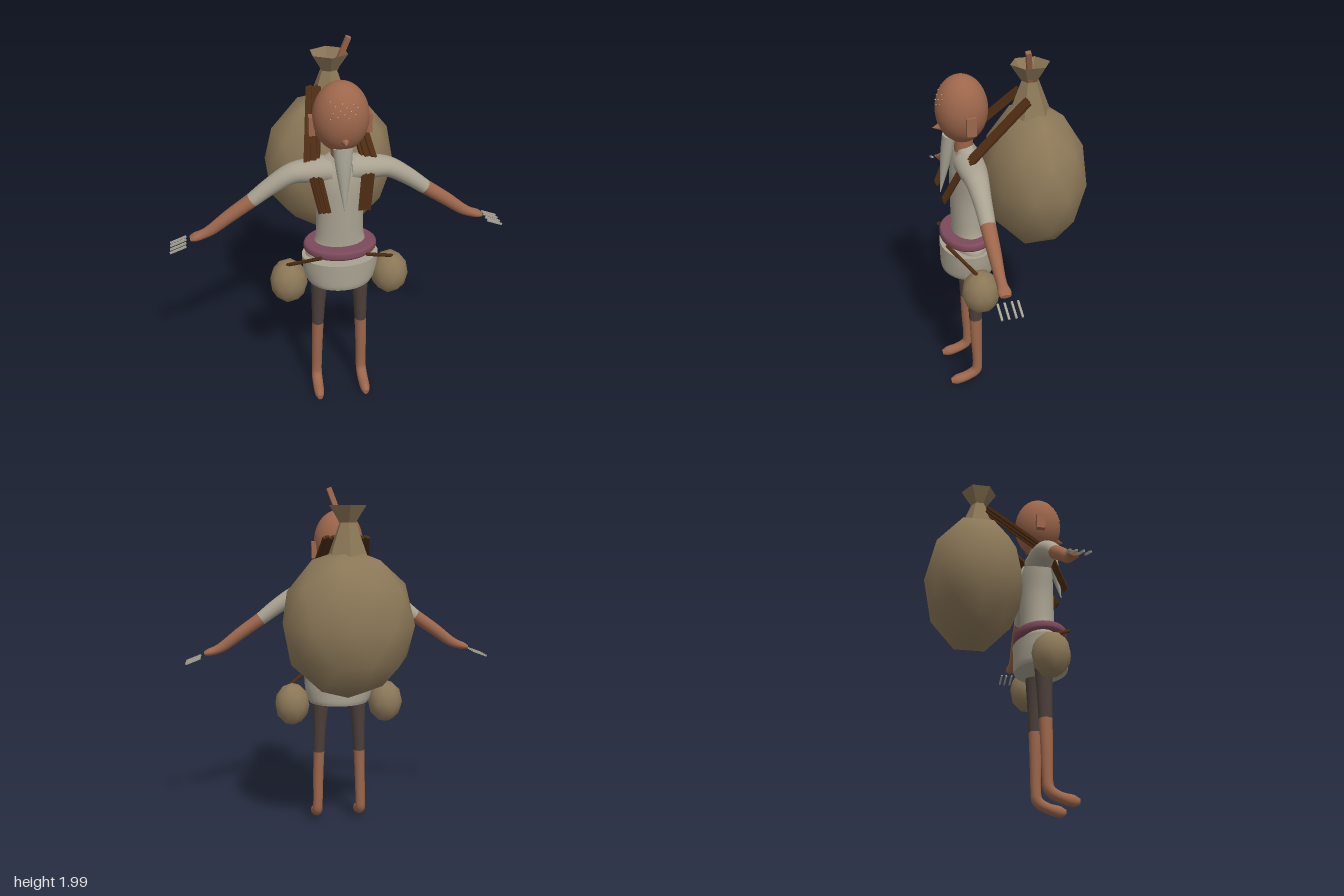
import * as THREE from 'three';

const mat = (name, color, extra = {}) => {
  const m = new THREE.MeshStandardMaterial({ color, ...extra });
  m.name = name;
  return m;
};

export function createModel() {
  const root = new THREE.Group();
  root.name = 'sackCarrier';

  const skin = mat('skin', 0x9c664b);
  const shirt = mat('shirtCloth', 0xa9a291);
  const hair = mat('greyHair', 0xa6a294);
  const burlap = mat('burlap', 0x8c7858);
  const burlapFlat = mat('burlapFolds', 0x8a7656, { flatShading: true, side: THREE.DoubleSide });
  const leather = mat('leather', 0x4c2b12);
  const trousers = mat('trousers', 0x4c3f39);
  const sash = mat('sash', 0x7c4a5b);
  const speckle = mat('speckle', 0xd2bea6);

  const V = (x, y, z) => new THREE.Vector3(x, y, z);
  const X = V(1, 0, 0), Z = V(0, 0, 1);

  const add = (name, geo, material, x = 0, y = 0, z = 0) => {
    const m = new THREE.Mesh(geo, material);
    m.name = name;
    m.position.set(x, y, z);
    root.add(m);
    return m;
  };

  // Smooth body through rows [x, y, z, radius along u, radius across u], with flat caps
  function loft(rows, u, steps = 20, seg = 20) {
    const path = new THREE.CatmullRomCurve3(rows.map(r => V(r[0], r[1], r[2])), false, 'catmullrom', 0.5);
    const radii = new THREE.CatmullRomCurve3(rows.map(r => V(r[3], r[4], 0)), false, 'catmullrom', 0.5);
    const pos = [], idx = [];
    const ring = t => {
      const c = path.getPoint(t), r = radii.getPoint(t);
      const v = path.getTangent(t).cross(u).normalize();
      for (let j = 0; j < seg; j++) {
        const a = j / seg * Math.PI * 2;
        const p = c.clone().addScaledVector(u, Math.cos(a) * r.x).addScaledVector(v, Math.sin(a) * r.y);
        pos.push(p.x, p.y, p.z);
      }
      return c;
    };
    for (let i = 0; i <= steps; i++) ring(i / steps);
    for (let i = 0; i < steps; i++) {
      for (let j = 0; j < seg; j++) {
        const a = i * seg + j, b = i * seg + (j + 1) % seg;
        idx.push(a, b, b + seg, a, b + seg, a + seg);
      }
    }
    for (const end of [0, 1]) {
      const base = pos.length / 3, c = ring(end);
      pos.push(c.x, c.y, c.z);
      for (let j = 0; j < seg; j++) {
        const a = base + j, b = base + (j + 1) % seg;
        idx.push(base + seg, end ? a : b, end ? b : a);
      }
    }
    const g = new THREE.BufferGeometry();
    g.setAttribute('position', new THREE.Float32BufferAttribute(pos, 3));
    g.setIndex(idx);
    g.computeVertexNormals();
    return g;
  }

  // Straight bar between two points
  function bar(name, a, b, w, d, material, round = false) {
    const len = a.distanceTo(b);
    const g = round ? new THREE.CylinderGeometry(w / 2, w / 2, len, 8) : new THREE.BoxGeometry(w, len, d);
    const m = add(name, g, material);
    m.position.copy(a).lerp(b, 0.5);
    m.quaternion.setFromUnitVectors(V(0, 1, 0), b.clone().sub(a).normalize());
    return m;
  }

  // Coarse rounded bag standing on one of its poles
  const bag = (rx, ry, rz) => new THREE.IcosahedronGeometry(1, 1)
    .rotateX(-Math.atan((1 + Math.sqrt(5)) / 2)).rotateY(Math.PI / 2).scale(rx, ry, rz);

  // Torso, tunic skirt and sash
  add('torso', loft([
    [0, 0.82, 0.238, 0.17, 0.10], [0, 0.92, 0.238, 0.185, 0.10], [0, 0.96, 0.238, 0.165, 0.098],
    [0, 1.02, 0.238, 0.13, 0.094], [0, 1.2, 0.238, 0.125, 0.094], [0, 1.34, 0.238, 0.145, 0.09],
    [0, 1.43, 0.24, 0.15, 0.07], [0, 1.475, 0.245, 0.09, 0.05], [0, 1.50, 0.25, 0.05, 0.045],
  ], X, 40, 28), shirt);
  add('tunicSkirt', loft([
    [0, 0.765, 0.25, 0.175, 0.145], [0, 0.79, 0.25, 0.187, 0.15],
    [0, 0.85, 0.25, 0.2, 0.15], [0, 0.92, 0.25, 0.205, 0.15],
  ], X, 16, 32), shirt);
  add('sash', loft([
    [0, 0.95, 0.25, 0.18, 0.14], [0, 0.962, 0.25, 0.193, 0.147],
    [0, 0.988, 0.25, 0.193, 0.147], [0, 1.0, 0.25, 0.18, 0.14],
  ], X, 12, 32), sash);

  // Head, nose, neck and beard
  add('head', new THREE.SphereGeometry(1, 32, 24).scale(0.14, 0.177, 0.135), skin, 0, 1.7, 0.255);
  add('nose', new THREE.ConeGeometry(0.06, 0.12, 12).rotateX(Math.PI / 2 + 0.1), skin, 0, 1.617, 0.35);
  add('neck', new THREE.CylinderGeometry(0.05, 0.05, 0.12, 16), skin, 0, 1.53, 0.25);
  add('beard', loft([
    [0, 1.56, 0.325, 0.05, 0.035], [0, 1.45, 0.345, 0.038, 0.03],
    [0, 1.34, 0.365, 0.02, 0.017], [0, 1.24, 0.384, 0.002, 0.002],
  ], X, 12, 16), hair);

  // Small speckles scattered over the forehead
  for (let i = 0; i < 14; i++) {
    const x = -0.07 + 0.14 * ((i * 0.618) % 1), y = 1.735 + 0.075 * (i / 13);
    const k = 1 - (x / 0.14) ** 2 - ((y - 1.7) / 0.177) ** 2;
    add('foreheadSpeckle', new THREE.SphereGeometry(0.003, 6, 4), speckle, x, y, 0.255 + 0.135 * Math.sqrt(k));
  }

  for (const s of [1, -1]) {
    const side = s > 0 ? 'left' : 'right';
    const flip = rows => rows.map(([x, ...r]) => [s * x, ...r]);

    add(side + 'Ear', new THREE.BoxGeometry(0.03, 0.095, 0.05), skin, s * 0.142, 1.655, 0.238);

    // Sleeve, forearm and fingers
    add(side + 'Sleeve', loft(flip([
      [0.05, 1.415, 0.238, 0.08, 0.07], [0.16, 1.412, 0.238, 0.073, 0.06], [0.25, 1.4, 0.238, 0.06, 0.052],
      [0.35, 1.342, 0.238, 0.047, 0.045], [0.45, 1.268, 0.238, 0.04, 0.038],
    ]), Z), shirt);
    add(side + 'Forearm', loft(flip([
      [0.45, 1.268, 0.238, 0.04, 0.038], [0.57, 1.185, 0.238, 0.034, 0.035], [0.66, 1.118, 0.238, 0.027, 0.03],
      [0.71, 1.092, 0.238, 0.026, 0.025], [0.75, 1.08, 0.238, 0.033, 0.021], [0.775, 1.073, 0.238, 0.026, 0.012],
    ]), Z), skin);
    for (const z of [0.187, 0.217, 0.252, 0.285]) {
      bar(side + 'Finger', V(s * 0.798, 1.056, z), V(s * 0.882, 1.024, z), 0.01, 0.01, hair);
    }

    // Trouser leg, shin and foot
    add(side + 'TrouserLeg', loft(flip([
      [0.108, 0.8, 0.24, 0.053, 0.053], [0.116, 0.63, 0.24, 0.04, 0.043], [0.122, 0.46, 0.24, 0.033, 0.037],
    ]), X, 12), trousers);
    add(side + 'ShinAndFoot', loft(flip([
      [0.122, 0.46, 0.24, 0.033, 0.036], [0.127, 0.3, 0.24, 0.031, 0.032], [0.13, 0.15, 0.238, 0.029, 0.028],
      [0.132, 0.085, 0.248, 0.03, 0.03], [0.133, 0.052, 0.3, 0.03, 0.028], [0.134, 0.036, 0.365, 0.027, 0.03],
      [0.134, 0.032, 0.4, 0.014, 0.016],
    ]), X, 30), skin);

    // Hip pouch hung from the sash
    add(side + 'HipPouch', bag(0.103, 0.127, 0.105), burlap, s * 0.278, 0.757, 0.24);
    bar(side + 'PouchCord', V(s * 0.12, 0.975, 0.385), V(s * 0.285, 0.87, 0.26), 0.02, 0.02, leather, true);

    // Carrying strap of parallel cords, over the shoulder and down the chest
    for (let i = 0; i < 5; i++) {
      const o = (i - 2) * s, lift = (i % 2) * 0.006;
      bar(side + 'BackStrap', V(s * 0.085 + o * 0.016, 1.735 + lift, -0.07),
        V(s * 0.145 + o * 0.016, 1.46 + lift, 0.255), 0.016, 0.016, leather);
      bar(side + 'ChestStrap', V(s * 0.132 + o * 0.012, 1.4 + lift, 0.305),
        V(s * 0.1 + o * 0.011, 1.24 + lift, 0.386), 0.015, 0.015, leather);
    }
  }

  // Great sack with gathered neck, and a stick poking out
  add('sack', bag(0.363, 0.405, 0.285), burlap, 0, 1.28, -0.128);
  add('sackNeck', new THREE.CylinderGeometry(0.045, 0.115, 0.18, 6, 1, true), burlapFlat, 0, 1.725, -0.105);
  add('sackMouth', new THREE.CylinderGeometry(0.105, 0.045, 0.09, 6, 1, true), burlapFlat, 0, 1.858, -0.105);
  bar('stick', V(0.032, 1.82, -0.095), V(0.094, 1.99, -0.066), 0.026, 0.026, skin);

  return root;
}
